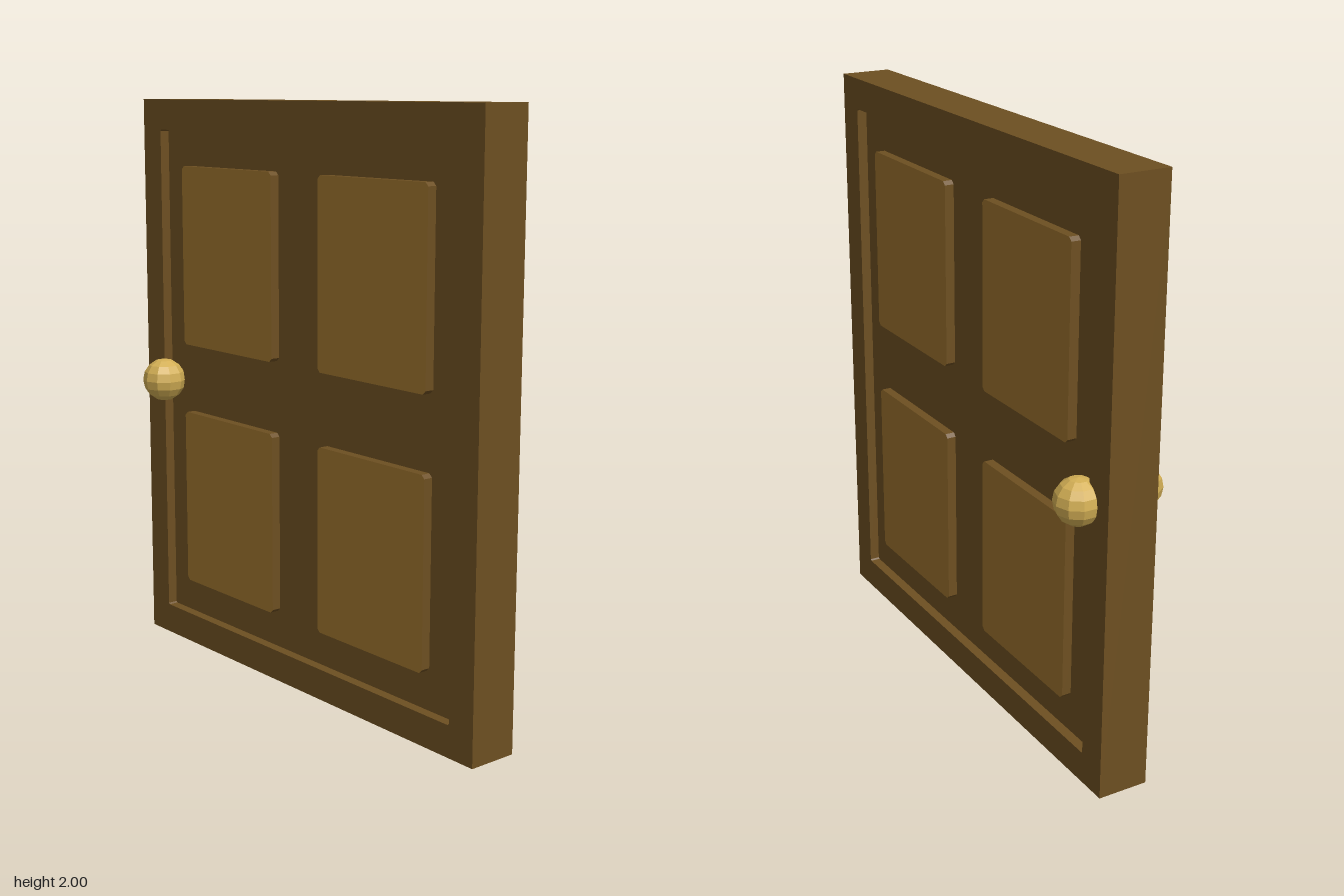
import * as THREE from 'three';

const darkWood = new THREE.MeshStandardMaterial({ color: 0x6d4f21 });
darkWood.name = 'dark wood';
const lightWood = new THREE.MeshStandardMaterial({ color: 0x9a712d });
lightWood.name = 'light wood';
const brass = new THREE.MeshStandardMaterial({ color: 0xd2ae54, flatShading: true });
brass.name = 'brass';

// Rectangle outline with small clipped corners
function clippedRect(w, h, c, PathType = THREE.Shape) {
  const x = w / 2, y = h / 2;
  return new PathType([
    [-x + c, -y], [x - c, -y], [x, -y + c], [x, y - c],
    [x - c, y], [-x + c, y], [-x, y - c], [-x, -y + c],
  ].map(([a, b]) => new THREE.Vector2(a, b)));
}

// Extrusion centred on z = 0
function slab(shape, depth) {
  return new THREE.ExtrudeGeometry(shape, { depth, bevelEnabled: false }).translate(0, 0, -depth / 2);
}

export function createModel() {
  const door = new THREE.Group();
  door.name = 'door';
  const add = (name, geometry, material, x, y, z) => {
    const mesh = new THREE.Mesh(geometry, material);
    mesh.name = name;
    mesh.position.set(x, y, z);
    door.add(mesh);
    return mesh;
  };

  // Outer frame around a shallow recess on both faces
  const outline = new THREE.Shape([[-0.87, -1], [0.87, -1], [0.87, 1], [-0.87, 1]]
    .map(([x, y]) => new THREE.Vector2(x, y)));
  outline.holes.push(clippedRect(1.53, 1.785, 0.005, THREE.Path));
  add('frame', slab(outline, 0.175), darkWood, 0, 1, 0);

  // Recessed core
  add('core', new THREE.BoxGeometry(1.6, 1.86, 0.105), darkWood, 0, 1.0025, 0);

  // Four raised panels, light on the faces and dark on the edges
  const panel = slab(clippedRect(0.515, 0.64, 0.012), 0.17);
  for (const [row, y] of [['lower', 0.557], ['upper', 1.447]]) {
    for (const [side, x] of [['Left', 0.38], ['Right', -0.38]]) {
      add(row + side + 'Panel', panel, [lightWood, darkWood], x, y, 0);
    }
  }

  // Faceted knob on each face
  const knob = new THREE.SphereGeometry(0.078, 10, 8).rotateY(Math.PI / 2);
  add('frontKnob', knob, brass, -0.738, 0.985, 0.108);
  add('backKnob', knob, brass, -0.738, 0.985, -0.108).rotation.y = Math.PI;

  return door;
}
